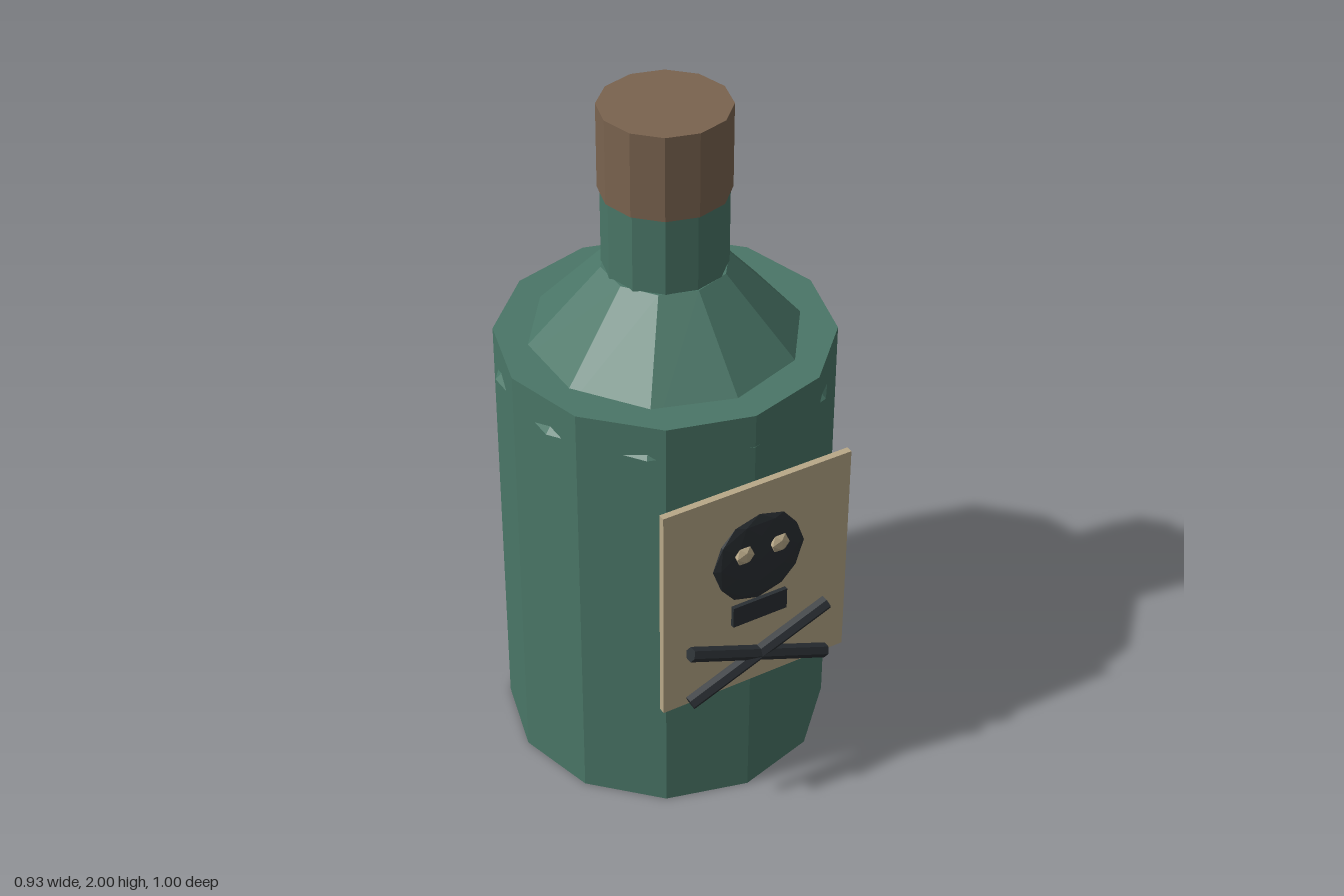
import * as THREE from 'three';

const mat = (color) => new THREE.MeshStandardMaterial({ color, flatShading: true });

export function createModel() {
  const model = new THREE.Group();
  model.name = 'poisonBottle';
  const glass = mat(0x4a7667), cork = mat(0x7a634f), paper = mat(0xb8a888), ink = mat(0x2a2f33);

  const add = (name, geometry, material, x, y, z, parent = model) => {
    const mesh = new THREE.Mesh(geometry, material);
    mesh.name = name;
    mesh.position.set(x, y, z);
    parent.add(mesh);
    return mesh;
  };

  // Upright faceted section between two heights
  const section = (name, rTop, rBottom, y0, y1, sides, material) =>
    add(name, new THREE.CylinderGeometry(rTop, rBottom, y1 - y0, sides), material, 0, (y0 + y1) / 2, -0.032);

  // Bottle; the ten-sided shoulder pokes slightly through the twelve-sided body
  section('body', 0.467, 0.467, 0, 1.31, 12, glass);
  section('shoulder', 0.175, 0.468, 1.21, 1.53, 10, glass);
  section('neck', 0.171, 0.171, 1.4, 1.8, 12, glass);
  section('cork', 0.178, 0.178, 1.755, 2, 12, cork);

  // Paper label
  add('label', new THREE.BoxGeometry(0.58, 0.675, 0.02), paper, 0, 0.7625, 0.446);

  // Skull emblem
  const emblem = new THREE.Group();
  emblem.name = 'skullEmblem';
  model.add(emblem);
  add('skull', new THREE.IcosahedronGeometry(0.143, 1), ink, 0, 0.865, 0.464, emblem).scale.z = 0.1;
  add('jaw', new THREE.BoxGeometry(0.17, 0.066, 0.012), ink, 0, 0.693, 0.473, emblem);
  for (const side of [-1, 1]) {
    const eye = add('eye', new THREE.IcosahedronGeometry(0.031, 0), paper, side * 0.055, 0.9, 0.481, emblem);
    eye.scale.z = 0.45;
    // Crossed bones
    const bone = add('bone', new THREE.CylinderGeometry(0.021, 0.021, 0.47, 6), ink, 0, 0.533, 0.477, emblem);
    bone.rotation.z = Math.PI / 2 + side * 0.385;
  }

  return model;
}
